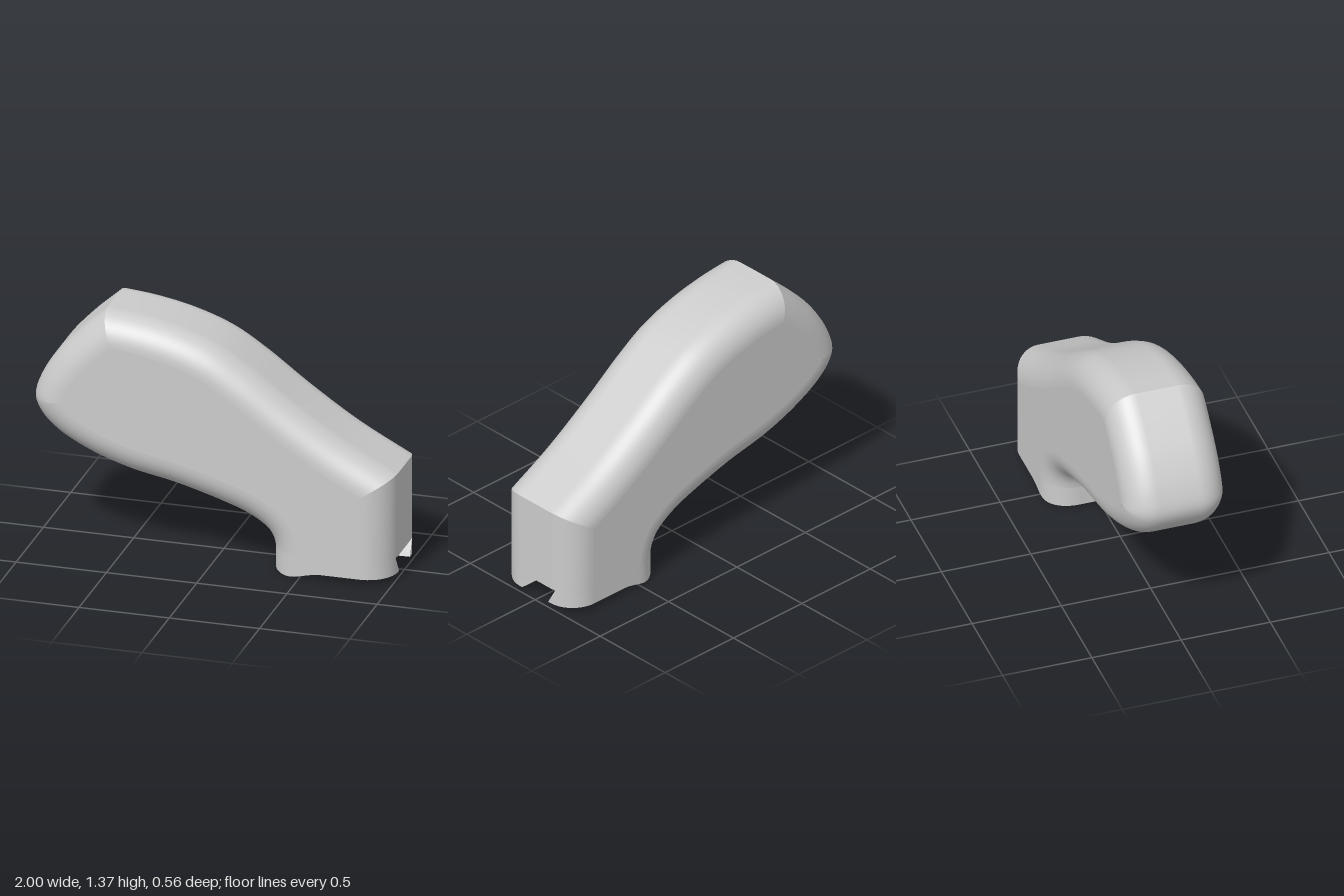
import * as THREE from 'three';

const R = 0.165, FLAT = 0.115, HALF = FLAT + R;   // edge rounding and half thickness
const SPLIT = 0.125;                              // height where the foot meets the body
const NECK = 0.33, FRONT = 1;                     // x extent of the foot
const SLOT_LOW = 0.55, SLOT_HIGH = 0.69;          // slanted end of the dovetail slot

const material = new THREE.MeshStandardMaterial({ color: 0xcccccc, side: THREE.DoubleSide });

// Surface through equal-length rows of [x, y, z] points
function grid(rows) {
  const n = rows[0].length, index = [];
  for (let i = 0; i < rows.length - 1; i++) {
    for (let j = 0; j < n - 1; j++) {
      const a = i * n + j, b = a + n;
      index.push(a, b, b + 1, a, b + 1, a + 1);
    }
  }
  const g = new THREE.BufferGeometry();
  g.setAttribute('position', new THREE.Float32BufferAttribute(rows.flat(2), 3));
  g.setIndex(index);
  g.computeVertexNormals();
  return g;
}

const mirrorRows = rows => rows.map(row => row.map(([x, y, z]) => [x, y, -z])).reverse();

const curve = pts => new THREE.CatmullRomCurve3(pts.map(([x, y]) => new THREE.Vector3(x, y, 0)));

// Side profile: neck, underside and rounded back, then the top ridge
const under = curve([[NECK, SPLIT], [0.325, 0.16], [0.295, 0.215], [0.195, 0.283], [0.06, 0.335],
  [-0.205, 0.412], [-0.47, 0.468], [-0.69, 0.545], [-0.87, 0.645], [-0.965, 0.74], [-1, 0.83],
  [-0.97, 0.94], [-0.875, 1.096], [-0.75, 1.235], [-0.607, 1.366]]);
const top = curve([[-0.607, 1.366], [-0.42, 1.347], [-0.205, 1.303], [0.01, 1.225],
  [0.195, 1.112], [0.436, 0.936], [0.703, 0.76], [1, 0.6]]);

// Curve moved inwards by d, its ends trimmed for the mitred corners
function inset(c, d, trimStart, trimEnd, count) {
  const length = c.getLength(), pts = [];
  const u0 = d * trimStart / length, u1 = 1 - d * trimEnd / length;
  for (let i = 0; i <= count; i++) {
    const u = u0 + (u1 - u0) * i / count;
    const p = c.getPointAt(u), t = c.getTangentAt(u);
    pts.push([p.x + t.y * d, p.y - t.x * d]);
  }
  return pts;
}

// The three strips of the outline at inset d
function outline(d) {
  const a = inset(under, d, 0, 0.445, 90);
  const b = inset(top, d, 0.445, 0.6, 50);
  a[0] = [NECK + d, SPLIT];
  const peak = [(a[90][0] + b[0][0]) / 2, (a[90][1] + b[0][1]) / 2];
  a[90] = b[0] = peak;
  b[50] = [FRONT - d, b[50][1]];
  return [a, b, [b[50], [FRONT - d, SPLIT]]];
}

// Underside height of the foot, with a small lip at the neck
function floorY(x) {
  if (x < 0.42) return 0.01 * ((0.42 - x) / 0.09) ** 2;
  return 0.033 * THREE.MathUtils.smoothstep(x, 0.42, 0.62);
}

// Half outline of the foot, from the neck to the front
function footOutline() {
  const pts = [], steps = 12;
  for (let i = 0; i <= steps; i++) {
    const a = i / steps * Math.PI / 2;
    pts.push([NECK + R * (1 - Math.cos(a)), FLAT + R * Math.sin(a)]);
  }
  for (const x of [0.52, SLOT_LOW, SLOT_LOW, 0.58, 0.62, 0.7]) pts.push([x, HALF]);
  for (let i = steps; i >= 0; i--) {
    const a = i / steps * Math.PI / 2;
    pts.push([FRONT - R * (1 - Math.cos(a)), FLAT + R * Math.sin(a)]);
  }
  pts.push([FRONT, 0.1]);
  return pts;
}

// Flat wall in z and y with a round hole; xAt gives its depth at each height
function holedWall(corners, holeY, holeR, side, xAt) {
  const shape = new THREE.Shape(corners.map(([u, v]) => new THREE.Vector2(u, v)));
  const hole = new THREE.Path();
  hole.absarc(0, holeY, holeR, 0, Math.PI * 2, true);
  shape.holes.push(hole);
  const g = new THREE.ShapeGeometry(shape, 12);
  const p = g.attributes.position;
  for (let i = 0; i < p.count; i++) p.setXYZ(i, xAt(p.getY(i)), p.getY(i), side * p.getX(i));
  g.computeVertexNormals();
  return g;
}

export function createModel() {
  const model = new THREE.Group();
  const add = (name, geometry) => {
    const mesh = new THREE.Mesh(geometry, material);
    mesh.name = name;
    model.add(mesh);
  };

  // Body shell: outline strips rolled over the rounded edges
  const layers = [], steps = 12;
  for (let i = -steps; i <= steps; i++) {
    const a = Math.abs(i) / steps * Math.PI / 2;
    const z = FLAT + R * Math.sin(a);
    const strips = outline(R * (1 - Math.cos(a)));
    if (i === 0) layers.push({ z: -FLAT, strips }, { z: FLAT, strips });
    else layers.push({ z: Math.sign(i) * z, strips });
  }
  ['undersideAndBack', 'topRidge', 'frontFace'].forEach((name, s) => {
    add(name, grid(layers.map(l => l.strips[s].map(([x, y]) => [x, y, l.z]))));
  });

  // Flat sides
  const sideShape = new THREE.Shape(outline(R).flatMap((strip, s) => strip.slice(s ? 1 : 0))
    .map(([x, y]) => new THREE.Vector2(x, y)));
  const leftSide = new THREE.ShapeGeometry(sideShape);
  leftSide.translate(0, 0, HALF);
  add('frontSide', leftSide);
  const backSide = leftSide.clone();
  backSide.scale(1, 1, -1);
  backSide.setIndex(Array.from(backSide.index.array).reverse());
  backSide.computeVertexNormals();
  add('backSide', backSide);

  // Foot: outer wall, sole and dovetail cheek, mirrored across z
  const half = footOutline();
  const edgeX = z => FRONT - R + Math.sqrt(R * R - (z - FLAT) ** 2);
  const mouth = 0.15, mouthX = edgeX(mouth);
  const upper = half.map(([x, z]) => x > 0.9 && z < mouth ? [mouthX, SPLIT, mouth] : [x, SPLIT, z]);
  const lower = half.map(([x, z]) => [x, floorY(x), z]);
  const firstSlot = half.findIndex(([x]) => x === SLOT_LOW) + 1;
  const inner = half.map(([x], i) => [x, floorY(x), i < firstSlot ? 0 : 0.1]);
  const cheek = [
    [[SLOT_LOW, floorY(SLOT_LOW), 0.1], [FRONT, floorY(FRONT), 0.1]],
    [[SLOT_HIGH, SPLIT, 0.135], [mouthX, SPLIT, mouth]],
  ];
  const footParts = { footWall: [upper, lower], sole: [lower, inner], slotCheek: cheek };
  for (const [name, rows] of Object.entries(footParts)) {
    add(name + 'Front', grid(rows));
    add(name + 'Back', grid(mirrorRows(rows)));
  }

  // Slot ceiling
  const ceiling = [[0.135, mouth, mouthX], [FLAT, FLAT, FRONT], [-FLAT, -FLAT, FRONT], [-0.135, -mouth, mouthX]];
  add('slotCeiling', grid(ceiling.map(([z0, z1, x]) => [[SLOT_HIGH, SPLIT, z0], [x, SPLIT, z1]])));

  // Neck wall and slanted slot end, joined by the screw hole
  const y0 = floorY(SLOT_LOW);
  const slotX = y => SLOT_LOW + (y - y0) / (SPLIT - y0) * (SLOT_HIGH - SLOT_LOW);
  add('neckWall', holedWall([[-FLAT, 0.01], [FLAT, 0.01], [FLAT, SPLIT], [-FLAT, SPLIT]],
    0.08, 0.036, 1, () => NECK));
  add('slotEnd', holedWall([[-0.1, y0], [0.1, y0], [0.135, SPLIT], [-0.135, SPLIT]],
    0.065, 0.024, -1, slotX));
  const ring = (cy, r, xAt) => Array.from({ length: 25 }, (_, i) => {
    const a = i / 24 * Math.PI * 2, y = cy + r * Math.sin(a);
    return [xAt(y), y, r * Math.cos(a)];
  });
  add('screwHole', grid([ring(0.065, 0.024, slotX), ring(0.08, 0.036, () => NECK)]));

  return model;
}
